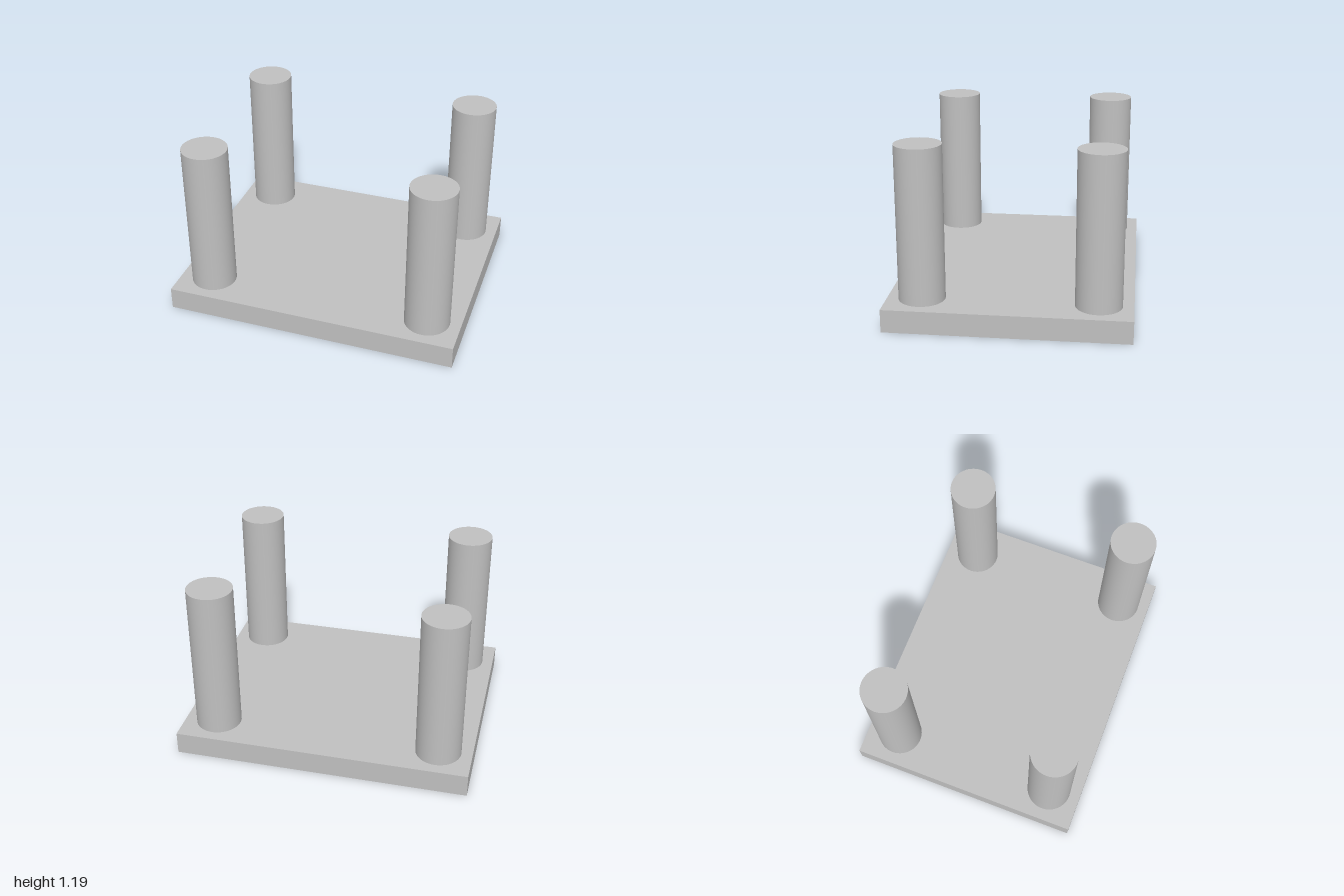
import * as THREE from 'three';

export function createModel() {
  const model = new THREE.Group();
  const grey = new THREE.MeshStandardMaterial({ color: 0xc0c0c0 });
  grey.name = 'light grey';

  const plateHeight = 0.155;
  const postHeight = 1.04;

  // Flat rectangular base
  const plate = new THREE.Mesh(new THREE.BoxGeometry(2, plateHeight, 1.61), grey);
  plate.name = 'basePlate';
  plate.position.y = plateHeight / 2;
  model.add(plate);

  // Four round posts, one near each corner
  const postGeometry = new THREE.CylinderGeometry(0.154, 0.154, postHeight, 64);
  for (const [sx, side] of [[1, 'Left'], [-1, 'Right']]) {
    for (const [sz, end] of [[1, 'front'], [-1, 'back']]) {
      const post = new THREE.Mesh(postGeometry, grey);
      post.name = `${end}${side}Post`;
      post.position.set(sx * 0.77, plateHeight + postHeight / 2, sz * 0.577);
      model.add(post);
    }
  }

  return model;
}
